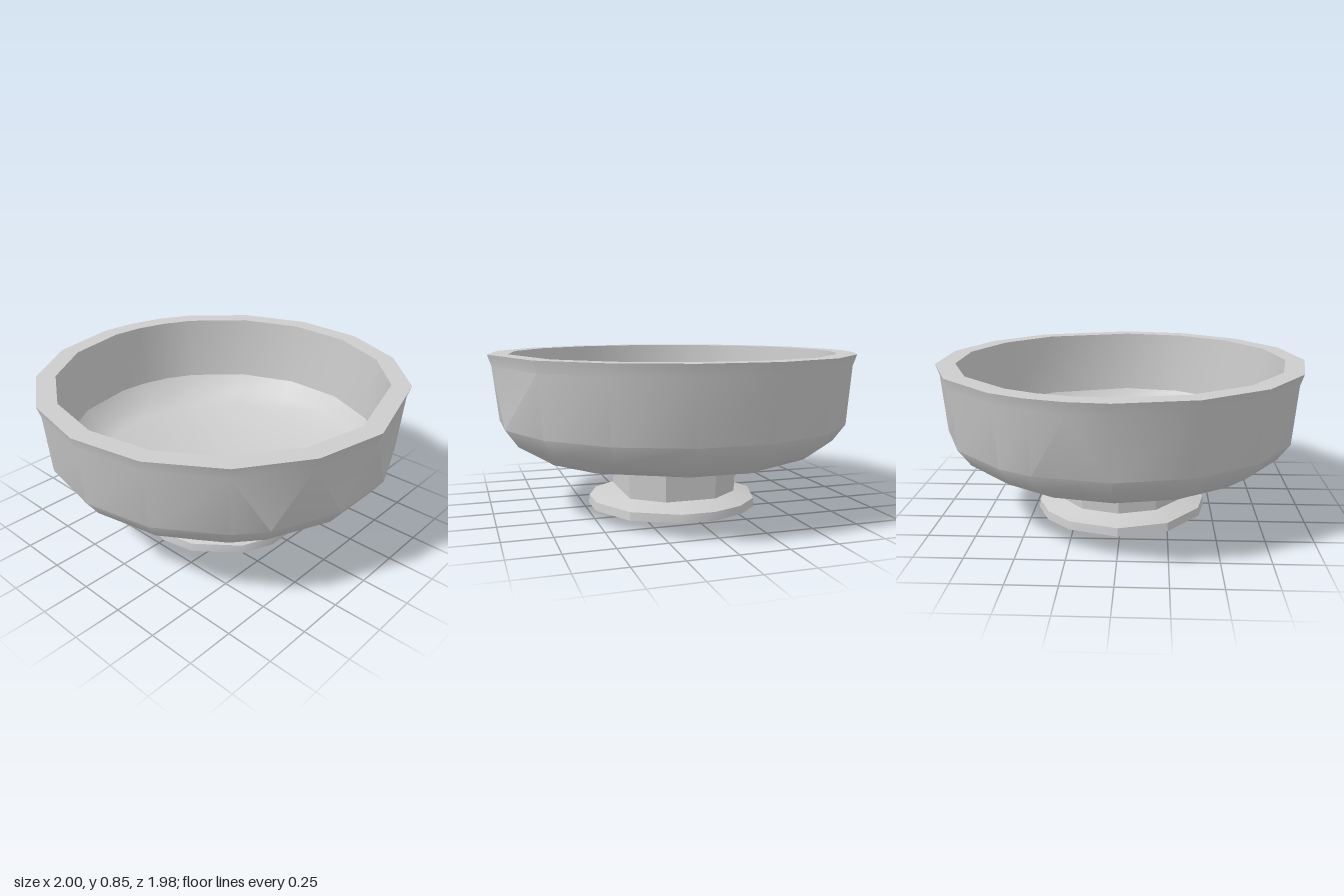
import * as THREE from 'three';
import { toCreasedNormals } from 'three/addons/utils/BufferGeometryUtils.js';

// Corner positions round each ring, in 32nds of a turn (0 = +x, 8 = +z)
const RIM = [0, 2, 4, 6, 8, 10, 12, 14, 16, 17, 18, 19, 21, 23, 25, 27, 29];
const WALL = [1, 3, 4, 6, 8, 10, 12, 14, 16, 18, 19, 21, 23, 25, 27, 29, 31];
const UNDER = [2, 5, 7, 9, 12, 14, 16, 18, 20, 23, 25, 28, 30];
const FLOOR = [1, 4, 6, 8, 10, 12, 14, 16, 18, 19, 21, 23, 25, 27, 29];
const STEM = [3, 6, 10, 13, 16, 19, 22, 26, 29];
const BASE = [1, 3, 6, 8, 10, 13, 16, 19, 21, 23, 25, 28, 31];
const CENTRE_Z = -0.01;

// Stitches rings [radius, y, corners] with differing corner counts into one skin
function ringSkin(rings) {
  const pos = [];
  const angle = (list, i) => list[i % list.length] + 32 * Math.floor(i / list.length);
  const point = ([r, y, list], i) => {
    const a = angle(list, i) * Math.PI / 16;
    return [r * Math.cos(a), y, r * Math.sin(a) + CENTRE_Z];
  };
  for (let k = 0; k + 1 < rings.length; k++) {
    const A = rings[k], B = rings[k + 1];
    const n = A[2].length, m = B[2].length;
    let i = 0, j = 0;
    while (i < n || j < m) {
      const midA = angle(A[2], i) + angle(A[2], i + 1);
      const midB = angle(B[2], j) + angle(B[2], j + 1);
      if (j >= m || (i < n && midA <= midB)) {
        if (A[0] > 0) pos.push(...point(A, i), ...point(B, j), ...point(A, i + 1));
        i++;
      } else {
        if (B[0] > 0) pos.push(...point(A, i), ...point(B, j), ...point(B, j + 1));
        j++;
      }
    }
  }
  const geometry = new THREE.BufferGeometry();
  geometry.setAttribute('position', new THREE.Float32BufferAttribute(pos, 3));
  return toCreasedNormals(geometry, 0.57);
}

export function createModel() {
  const group = new THREE.Group();
  group.name = 'footedBowl';
  const grey = new THREE.MeshStandardMaterial({ color: 0xcccccc });
  grey.name = 'plain grey';

  const add = (name, rings) => {
    const mesh = new THREE.Mesh(ringSkin(rings), grey);
    mesh.name = name;
    group.add(mesh);
  };

  // Bowl: underside, outer wall, flat rim, inner wall and floor
  add('bowl', [
    [0, 0.31, [0]],
    [0.77, 0.31, UNDER],
    [0.89, 0.39, WALL],
    [0.955, 0.48, WALL],
    [0.98, 0.79, RIM],
    [1, 0.85, RIM],
    [0.895, 0.85, RIM],
    [0.87, 0.48, RIM],
    [0.8, 0.395, RIM],
    [0.7, 0.335, FLOOR],
    [0, 0.335, [0]],
  ]);

  // Stem between foot and bowl
  add('stem', [
    [0.36, 0.08, STEM],
    [0.37, 0.31, STEM],
  ]);

  // Foot: closed disc with a sloping top
  add('foot', [
    [0, 0, [0]],
    [0.475, 0, BASE],
    [0.47, 0.045, BASE],
    [0.36, 0.08, STEM],
  ]);

  return group;
}
